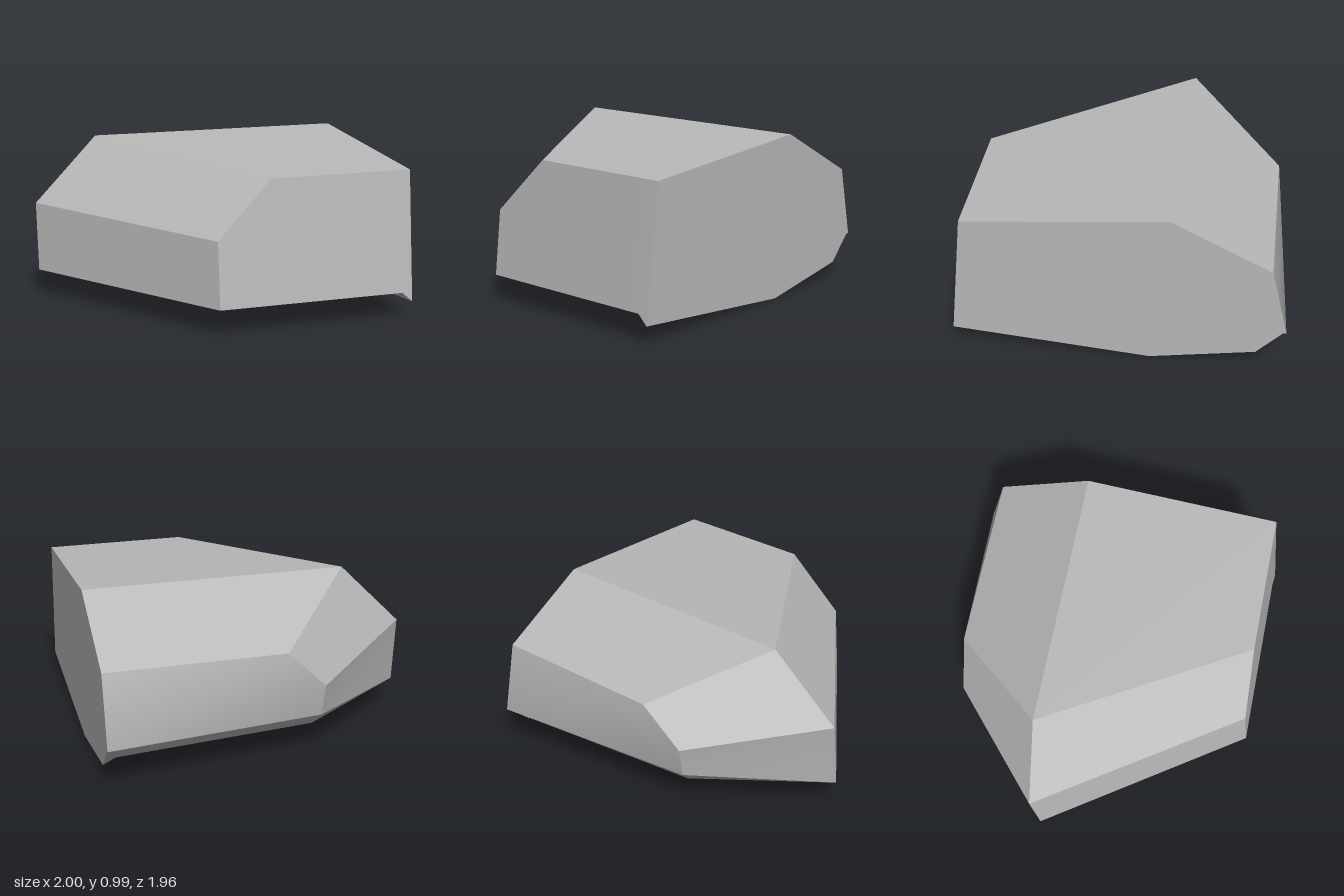
import * as THREE from 'three';
import { toCreasedNormals } from 'three/addons/utils/BufferGeometryUtils.js';

// Corners of the boulder
const P = {
  // cut end
  endTopFront: [1, 0.89, 0.89], endTop: [1, 0.985, -0.31], endTopBack: [1, 0.69, -0.88],
  endBack: [1, 0.26, -0.98], endBackLip: [1, 0.255, -0.96], endLowBack: [1, 0.1, -0.81],
  endLow: [1, 0, -0.19], endLowFront: [1, 0.11, 0.98],
  // upper ridge and shoulder
  ridge: [-0.6, 0.985, -0.31], ridgeFront: [0.13, 0.89, 0.89], ridgeBack: [-0.08, 0.69, -0.88],
  shoulder: [-1, 0.585, -0.265], shoulderFront: [-0.2, 0.555, 0.925], shoulderBack: [-0.32, 0.45, -0.85],
  // base
  baseSide: [-1, 0.165, -0.215], baseFront: [-0.2, 0.165, 0.97], baseBack: [-0.28, 0.165, -0.73],
  bevelBack: [-0.31, 0.25, -0.81],
  lipFront: [0.945, 0.165, 0.97], lipMid: [0.835, 0.165, -0.19], lipBack: [0.935, 0.165, -0.865],
};

// Faces as corner loops; each is fanned from its first corner
const FACES = [
  // top
  'ridge ridgeFront endTopFront endTop',
  'ridge endTop endTopBack ridgeBack',
  // slanted shoulders
  'ridge shoulder shoulderFront ridgeFront',
  'ridge ridgeBack shoulderBack shoulder',
  // walls
  'ridgeFront shoulderFront baseFront lipFront endLowFront endTopFront',
  'shoulder baseSide baseFront shoulderFront',
  'shoulder shoulderBack bevelBack baseSide',
  'bevelBack baseBack baseSide',
  'endBack endTopBack ridgeBack shoulderBack',
  'endBack shoulderBack bevelBack endBackLip',
  // underside bevel, base and the lip below the cut end
  'endBackLip bevelBack baseBack lipBack endLowBack',
  'baseFront lipFront lipMid lipBack baseBack baseSide',
  'endLowFront endLow lipMid lipFront',
  'endLow endLowBack lipBack lipMid',
  // flat cut end
  'endTop endTopFront endLowFront endLow endLowBack endBackLip endBack endTopBack',
];

function buildRock() {
  const inside = new THREE.Vector3(0.95, 0.5, 0); // every face looks away from here
  const positions = [];
  for (const face of FACES) {
    const loop = face.split(' ').map((name) => new THREE.Vector3(...P[name]));
    for (let i = 1; i < loop.length - 1; i++) {
      const tri = new THREE.Triangle(loop[0], loop[i], loop[i + 1]);
      const normal = tri.getNormal(new THREE.Vector3());
      const outward = tri.getMidpoint(new THREE.Vector3()).sub(inside);
      const corners = normal.dot(outward) > 0 ? [tri.a, tri.b, tri.c] : [tri.a, tri.c, tri.b];
      corners.forEach((v) => positions.push(v.x, v.y, v.z));
    }
  }
  const geometry = new THREE.BufferGeometry();
  geometry.setAttribute('position', new THREE.Float32BufferAttribute(positions, 3));
  return toCreasedNormals(geometry, 0.5);
}

export function createModel() {
  const stone = new THREE.MeshStandardMaterial({ color: 0xb8b8b8 });
  stone.name = 'grey stone';
  const rock = new THREE.Mesh(buildRock(), stone);
  rock.name = 'boulder';
  const group = new THREE.Group();
  group.name = 'rock';
  group.add(rock);
  return group;
}
